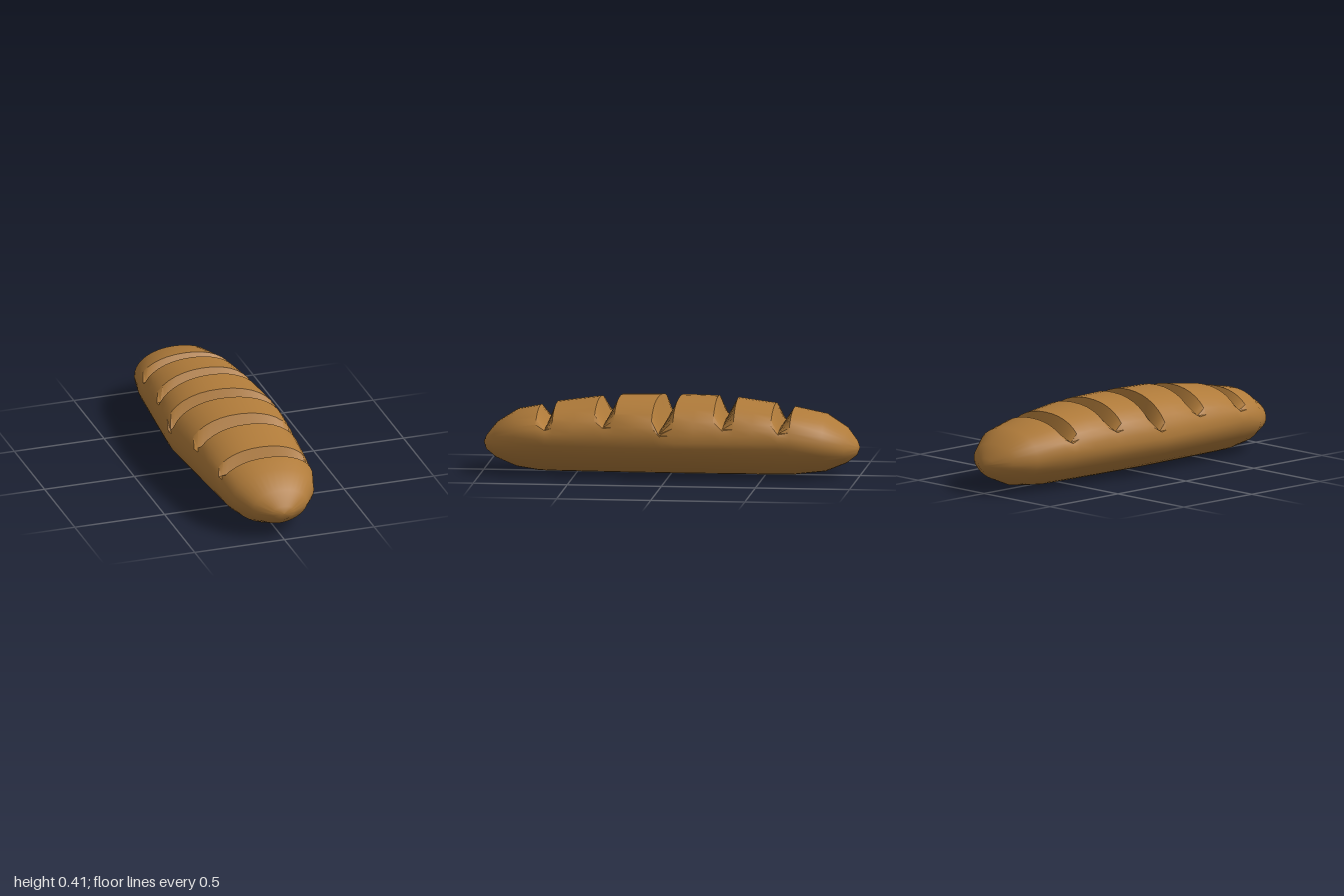
import * as THREE from 'three';
import { toCreasedNormals } from 'three/addons/utils/BufferGeometryUtils.js';

// Uncut loaf, from the middle to either tip: distance, half width, top, bottom
const HULL = [
  [0, 0.318, 0.415, 0],
  [0.3, 0.294, 0.41, 0],
  [0.6, 0.268, 0.37, 0.001],
  [0.7, 0.26, 0.347, 0.003],
  [0.82, 0.225, 0.325, 0.022],
  [0.93, 0.15, 0.255, 0.067],
  [0.985, 0.06, 0.185, 0.11],
  [1, 0, 0.15, 0.15],
];

// Baker's slashes: front edge z, deepest z, back edge z, floor height, sideways slant
const SLASHES = [
  [0.7, 0.65, 0.61, 0.27, 0],
  [0.38, 0.33, 0.27, 0.295, 0.04],
  [0.06, 0.02, -0.05, 0.27, 0.1],
  [-0.245, -0.29, -0.35, 0.295, -0.03],
  [-0.55, -0.59, -0.65, 0.27, 0],
];
const SIDES = 36;

// Linear lookup in rows sorted by their first number
function lookup(rows, t) {
  const n = Math.max(1, rows.findIndex((row) => row[0] >= t));
  const [from, to] = [rows[n - 1], rows[n]];
  const f = (t - from[0]) / (to[0] - from[0]);
  return from.map((v, i) => THREE.MathUtils.lerp(v, to[i], f));
}

const rounded = (v, power) => Math.sign(v) * Math.abs(v) ** power;

// Rings at the tapering ends, at each slash and halfway between slashes
function ringPositions() {
  const rings = [];
  for (const [z] of HULL.slice(4)) rings.push(z, -z);
  SLASHES.forEach(([front, deep, back], i) => {
    rings.push(front, deep, back);
    if (i + 1 < SLASHES.length) rings.push((back + SLASHES[i + 1][0]) / 2);
  });
  return rings.sort((a, b) => b - a);
}

function loafGeometry() {
  const rings = ringPositions();
  const slants = [[-1, 0], ...SLASHES.map((s) => [s[1], s[4]]).reverse(), [1, 0]];
  const positions = [];
  const indices = [];

  for (const z of rings) {
    const [, halfWidth, top, bottom] = lookup(HULL, Math.abs(z));
    const mid = Math.min(0.2, 0.15 + (1 - Math.abs(z)) * 0.16);
    const slant = lookup(slants, z)[1];
    const slash = SLASHES.find((s) => s[1] === z);
    for (let j = 0; j < SIDES; j++) {
      const angle = (j / SIDES) * Math.PI * 2;
      const c = Math.cos(angle), s = Math.sin(angle);
      // Fuller crust above, slightly pinched base below
      const power = s > 0 ? 0.93 : 1.08;
      const x = halfWidth * rounded(c, power);
      let y = mid + rounded(s, power) * (s > 0 ? top - mid : mid - bottom);
      // A slash shaves the crown down to a gently arched floor
      if (slash) y = Math.min(y, slash[3] - 0.35 * x * x);
      positions.push(x, y, z + slant * x * Math.sqrt(Math.max(0, s)));
    }
  }

  // Skin between rings; each tip ring is a single point, so it needs one triangle per side
  const last = rings.length - 2;
  for (let i = 0; i <= last; i++) {
    for (let j = 0; j < SIDES; j++) {
      const a = i * SIDES + j, b = i * SIDES + ((j + 1) % SIDES);
      const c = a + SIDES, d = b + SIDES;
      if (i > 0) indices.push(a, c, b);
      if (i < last) indices.push(b, c, d);
    }
  }

  const geometry = new THREE.BufferGeometry();
  geometry.setAttribute('position', new THREE.Float32BufferAttribute(positions, 3));
  geometry.setIndex(indices);
  return toCreasedNormals(geometry, 0.65);
}

export function createModel() {
  const crust = new THREE.MeshStandardMaterial({ color: 0xb07b3a });
  crust.name = 'golden crust';

  const loaf = new THREE.Mesh(loafGeometry(), crust);
  loaf.name = 'slashedLoaf';

  const group = new THREE.Group();
  group.name = 'breadLoaf';
  group.add(loaf);
  return group;
}
